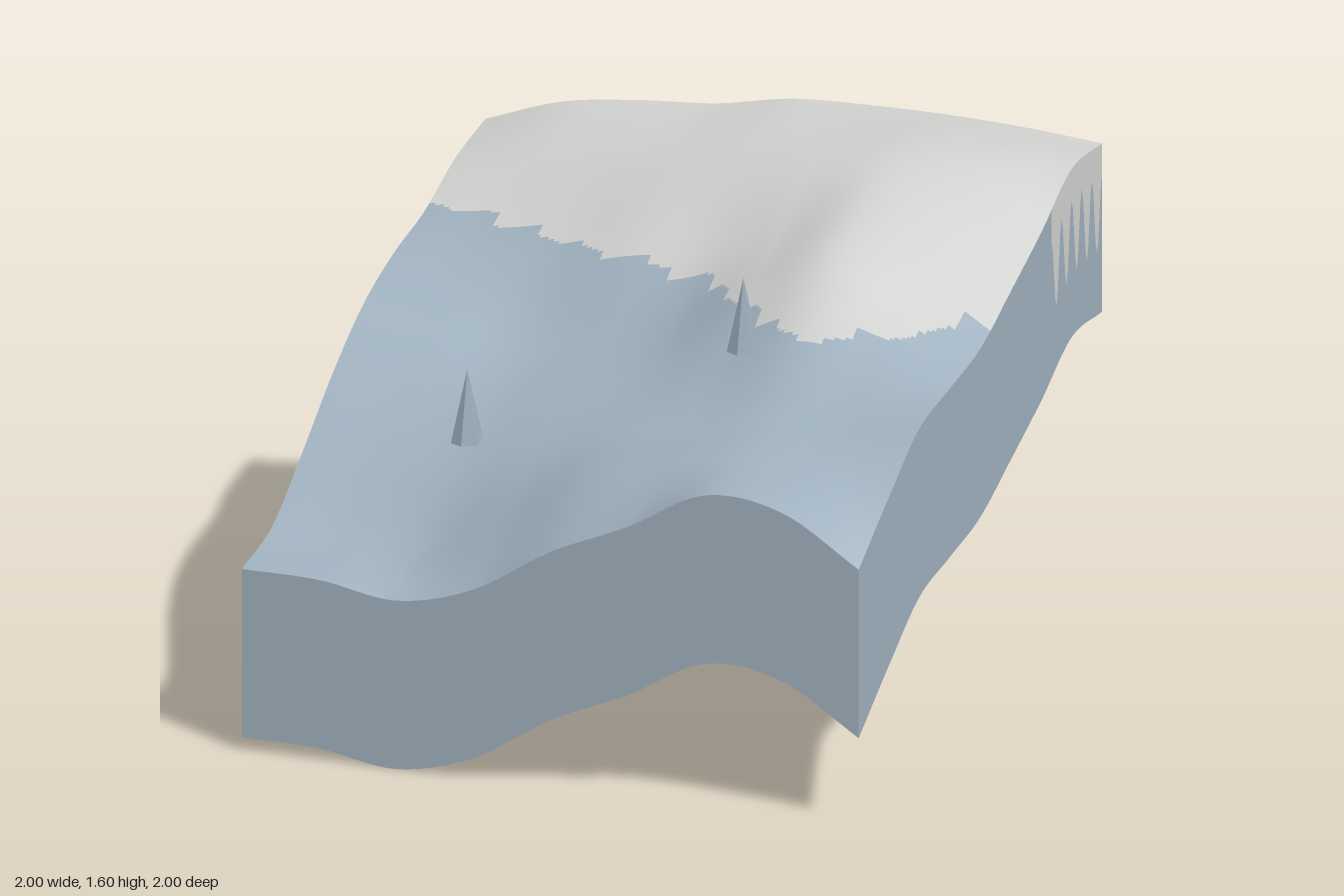
import * as THREE from 'three';

const N = 192;          // surface divisions per side
const CELLS = 24;       // coarse cells that shape the snow edge
const SKIRT = 0.535;    // height of the side walls
const SNOW_LINE = 1.268;

// Control heights: rows run from back (z = -1) to front (z = 1), columns from x = -1 to 1
const HEIGHTS = [
  [1.39, 1.475, 1.51, 1.53, 1.575, 1.585, 1.585, 1.575, 1.555],
  [1.34, 1.40, 1.45, 1.495, 1.545, 1.575, 1.60, 1.585, 1.55],
  [1.25, 1.285, 1.345, 1.42, 1.48, 1.54, 1.58, 1.54, 1.425],
  [1.195, 1.19, 1.21, 1.275, 1.32, 1.42, 1.515, 1.46, 1.315],
  [1.11, 1.08, 1.05, 1.09, 1.165, 1.31, 1.42, 1.35, 1.21],
  [0.97, 0.95, 0.95, 1.0, 1.06, 1.155, 1.25, 1.22, 1.16],
  [0.795, 0.79, 0.815, 0.89, 0.97, 1.03, 1.085, 1.09, 1.11],
  [0.635, 0.62, 0.64, 0.76, 0.90, 0.98, 1.03, 1.015, 0.97],
  [0.575, 0.57, 0.535, 0.60, 0.75, 0.86, 0.99, 0.965, 0.815],
];

// Smooth curve through evenly spaced values, u from -1 to 1
function spline(v, u) {
  const last = v.length - 1;
  const f = THREE.MathUtils.clamp((u + 1) / 2 * last, 0, last);
  const i = Math.min(Math.floor(f), last - 1);
  const t = f - i;
  const p1 = v[i], p2 = v[i + 1];
  const p0 = i > 0 ? v[i - 1] : 2 * p1 - p2;
  const p3 = i + 2 <= last ? v[i + 2] : 2 * p2 - p1;
  return p1 + 0.5 * t * (p2 - p0 + t * (2 * p0 - 5 * p1 + 4 * p2 - p3 + t * (3 * (p1 - p2) + p3 - p0)));
}

const height = (x, z) => spline(HEIGHTS.map((row) => spline(row, x)), z);

const cellCentre = (u) => (Math.floor((u + 1) / 2 * CELLS) + 0.5) / CELLS * 2 - 1;

// Pulls a point towards its cell centre, giving the snow edge its small steps
const stepped = (u) => THREE.MathUtils.lerp(u, cellCentre(u), 0.6);

function makeGeometry(positions, indexSets) {
  const geo = new THREE.BufferGeometry();
  geo.setAttribute('position', new THREE.Float32BufferAttribute(positions, 3));
  geo.setIndex(indexSets.flat());
  let start = 0;
  indexSets.forEach((set, m) => {
    geo.addGroup(start, set.length, m);
    start += set.length;
  });
  geo.computeVertexNormals();
  return geo;
}

// Rolling top surface, split into rock and snow faces
function terrainGeometry() {
  const pos = [], rock = [], snow = [];
  const at = (i) => i / N * 2 - 1;
  for (let j = 0; j <= N; j++) {
    const row = at(j);
    for (let i = 0; i <= N; i++) pos.push(at(i), height(at(i), row), row);
  }
  for (let j = 0; j < N; j++) {
    for (let i = 0; i < N; i++) {
      const a = j * (N + 1) + i, b = a + 1, c = a + N + 1, d = c + 1;
      const x = stepped(at(i + 0.5)), z = stepped(at(j + 0.5));
      (height(x, z) > SNOW_LINE ? snow : rock).push(a, c, b, b, c, d);
    }
  }
  return makeGeometry(pos, [rock, snow]);
}

// Side wall following the surface edge, with hanging snow teeth where it is high
function wallGeometry(edge) {
  const pos = [], rock = [], snow = [];
  for (let i = 0; i < N; i++) {
    const t0 = i / N * 2 - 1, t1 = (i + 1) / N * 2 - 1;
    const snowy = height(...edge(cellCentre((t0 + t1) / 2))) > 1.455;
    const base = pos.length / 3;
    for (const t of [t0, t1]) {
      const [x, z] = edge(t);
      const y = height(x, z);
      const depth = snowy ? 0.1 + 0.24 * Math.sin(Math.PI * t * CELLS / 2) ** 2 : 0;
      pos.push(x, y, z, x, y - depth, z, x, y - SKIRT, z);
    }
    const quad = (k) => [base + k, base + k + 1, base + k + 3, base + k + 3, base + k + 1, base + k + 4];
    if (snowy) snow.push(...quad(0));
    rock.push(...quad(1));
  }
  return makeGeometry(pos, [rock, snow]);
}

export function createModel() {
  const rock = new THREE.MeshStandardMaterial({ color: 0x9fb0be, side: THREE.DoubleSide });
  rock.name = 'blue grey rock';
  const snow = new THREE.MeshStandardMaterial({ color: 0xd0d1cf, side: THREE.DoubleSide });
  snow.name = 'pale snow';
  const spireRock = new THREE.MeshStandardMaterial({ color: 0x9aabb9, flatShading: true });
  spireRock.name = 'spire rock';

  const group = new THREE.Group();
  group.name = 'mountainTerrain';
  const add = (name, geo, mat) => {
    const mesh = new THREE.Mesh(geo, mat);
    mesh.name = name;
    group.add(mesh);
    return mesh;
  };

  add('terrainSurface', terrainGeometry(), [rock, snow]);

  // Four walls around the block, open underneath
  const edges = {
    frontWall: (t) => [t, 1],
    leftWall: (t) => [1, -t],
    backWall: (t) => [-t, -1],
    rightWall: (t) => [-1, t],
  };
  for (const [name, edge] of Object.entries(edges)) add(name, wallGeometry(edge), [rock, snow]);

  // Pointed spires standing on the slope
  for (const [x, y, z] of [[-0.5, 0.86, 0.415], [0.33, 1.2, 0.25]]) {
    const spire = add('spire', new THREE.ConeGeometry(0.052, 0.23, 7), spireRock);
    spire.position.set(x, y + 0.115, z);
  }
  return group;
}
